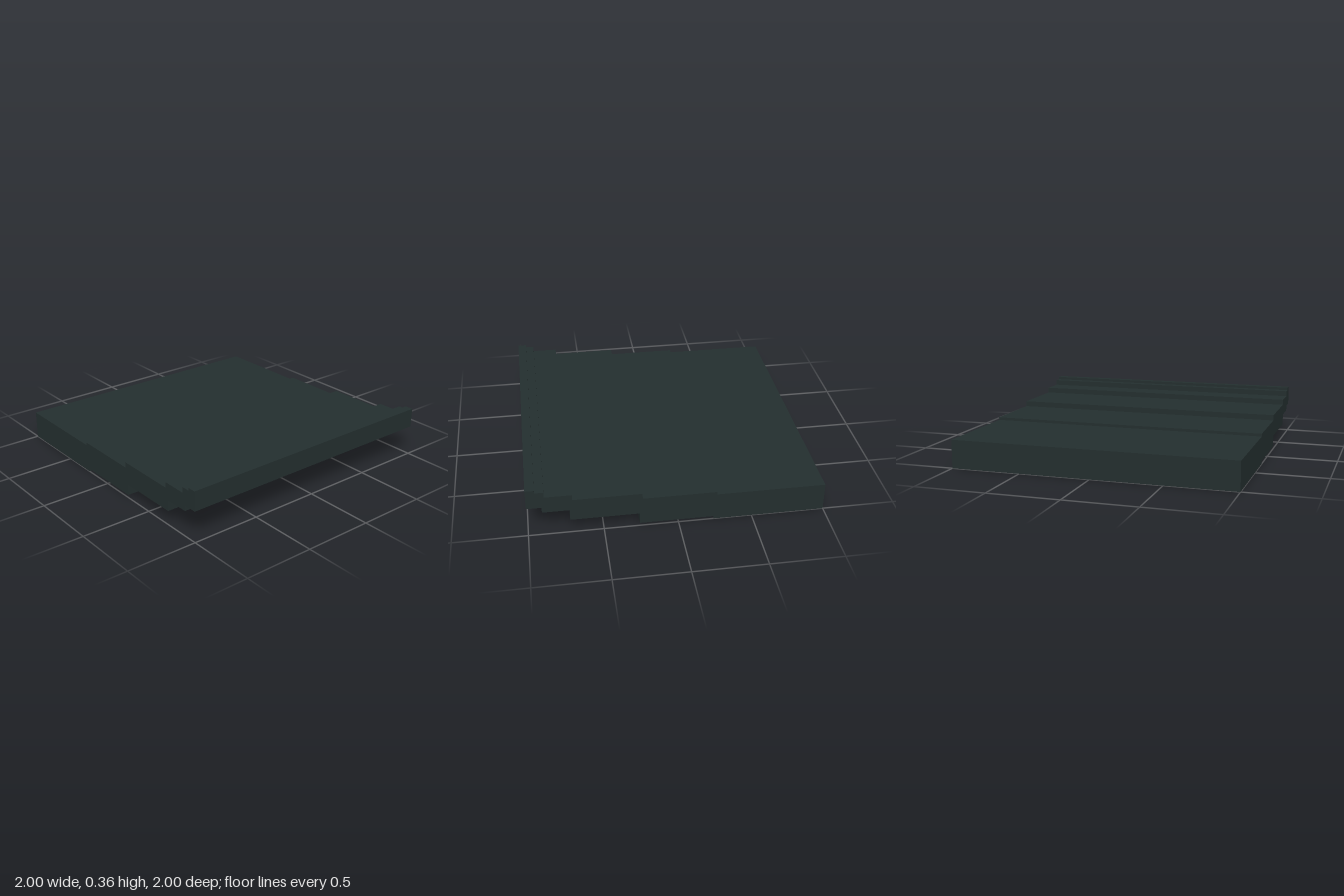
import * as THREE from 'three';

export function createModel() {
  const group = new THREE.Group();
  const slate = new THREE.MeshStandardMaterial({ color: 0x232e2e });
  slate.name = 'dark slate';

  // Stepped cross-section: underside from left to right, then the top back again
  const profile = [
    [-1, 0], [-0.24, 0], [-0.24, 0.02], [0.26, 0.02], [0.26, 0.1], [0.72, 0.1],
    [0.72, 0.18], [0.9, 0.18], [0.9, 0.22], [1, 0.22],
    [1, 0.36], [0.94, 0.36], [0.94, 0.34], [0.88, 0.34], [0.88, 0.3], [0.7, 0.3],
    [0.7, 0.26], [0.24, 0.26], [0.24, 0.22], [-0.26, 0.22], [-0.26, 0.2], [-1, 0.2],
  ];
  const shape = new THREE.Shape(profile.map(([x, y]) => new THREE.Vector2(x, y)));

  // Run the section along the full depth, centred on z
  const geometry = new THREE.ExtrudeGeometry(shape, { depth: 2, bevelEnabled: false });
  geometry.translate(0, 0, -1);

  const slab = new THREE.Mesh(geometry, slate);
  slab.name = 'steppedSlab';
  group.add(slab);
  return group;
}
